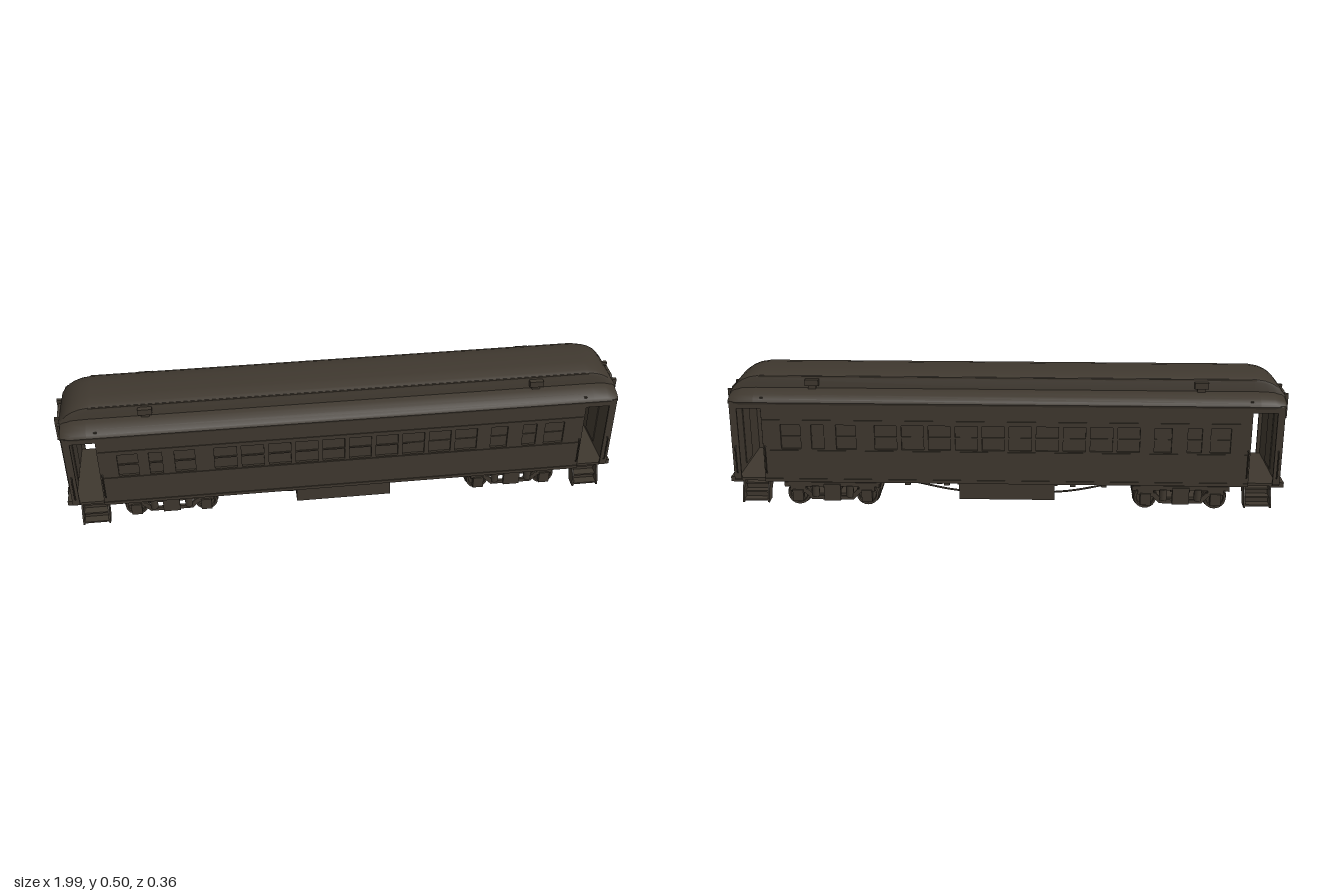
import * as THREE from 'three';
import { toCreasedNormals } from 'three/addons/utils/BufferGeometryUtils.js';

const paint = new THREE.MeshStandardMaterial({ color: 0x3f382f });
paint.name = 'dark olive brown paint';

function add(parent, name, geometry, x = 0, y = 0, z = 0) {
  const mesh = new THREE.Mesh(geometry, paint);
  mesh.name = name;
  mesh.position.set(x, y, z);
  parent.add(mesh);
  return mesh;
}
// box given by its limits
function box(parent, name, x0, x1, y0, y1, z0, z1) {
  return add(parent, name, new THREE.BoxGeometry(x1 - x0, y1 - y0, z1 - z0),
    (x0 + x1) / 2, (y0 + y1) / 2, (z0 + z1) / 2);
}
function polygon(points) {
  return new THREE.Shape(points.map(([a, b]) => new THREE.Vector2(a, b)));
}
function rectHole(x0, x1, y0, y1) {
  return new THREE.Path([[x0, y0], [x0, y1], [x1, y1], [x1, y0]].map(p => new THREE.Vector2(...p)));
}
function extrude(shape, depth) {
  return new THREE.ExtrudeGeometry(shape, { depth, bevelEnabled: false, curveSegments: 8 });
}
function tube(parent, name, points, radius) {
  const curve = new THREE.CatmullRomCurve3(points.map(p => new THREE.Vector3(...p)));
  return add(parent, name, new THREE.TubeGeometry(curve, points.length * 5, radius, 6));
}

// skins a half profile [z, y], mirrored in z, along sections [x, height scale, width scale]
function roofLoft(half, sections) {
  const base = half[0][1];
  const full = [...half, ...half.filter(p => p[0] > 0).reverse().map(([z, y]) => [-z, y])];
  const n = full.length, pos = [], index = [];
  for (const [x, sy, sz] of sections)
    for (const [z, y] of full) pos.push(x, base + (y - base) * sy, z * sz);
  for (let i = 0; i < sections.length - 1; i++)
    for (let j = 0; j < n - 1; j++) {
      const a = i * n + j, b = a + n;
      index.push(a, b, a + 1, b, b + 1, a + 1);
    }
  const last = (sections.length - 1) * n;
  for (let j = 1; j < n - 1; j++) index.push(0, j, j + 1, last, last + j + 1, last + j);
  const g = new THREE.BufferGeometry();
  g.setAttribute('position', new THREE.Float32BufferAttribute(pos, 3));
  g.setIndex(index);
  return toCreasedNormals(g, 0.6);
}
function bothEnds(list) {
  return [...list.map(([x, ...r]) => [-x, ...r]), ...[...list].reverse()];
}

function buildRoof() {
  const roof = new THREE.Group();
  roof.name = 'roof';
  add(roof, 'lowerRoof', roofLoft(
    [[0.163, 0.405], [0.166, 0.413], [0.161, 0.424], [0.145, 0.436], [0.12, 0.446], [0.1, 0.45], [0, 0.452]],
    bothEnds([[0.97, 0.6, 0.95], [0.96, 0.75, 0.98], [0.93, 0.95, 1], [0.88, 1, 1]])));
  add(roof, 'clerestory', roofLoft(
    [[0.105, 0.425], [0.1, 0.482], [0.097, 0.492], [0.085, 0.498], [0.045, 0.504], [0, 0.505]],
    bothEnds([[0.975, 0.1, 0.96], [0.96, 0.38, 0.98], [0.945, 0.6, 1], [0.925, 0.78, 1], [0.9, 0.92, 1], [0.865, 1, 1]])));
  for (const s of [-1, 1]) {
    box(roof, 'clerestoryEave', -0.87, 0.87, 0.486, 0.491, s * 0.099 - 0.003, s * 0.099 + 0.003);
    for (const x of [-0.68, 0.68]) {
      box(roof, 'ventilator', x - 0.024, x + 0.024, 0.46, 0.482, s * 0.108 - 0.01, s * 0.108 + 0.01);
      box(roof, 'ventilatorNeck', x - 0.014, x + 0.014, 0.445, 0.462, s * 0.105 - 0.006, s * 0.105 + 0.006);
    }
  }
  return roof;
}

// one long side wall with recessed windows, facing +z
function buildSide() {
  const side = new THREE.Group();
  side.name = 'sideWall';
  const wall = polygon([[-0.855, 0.125], [0.855, 0.125], [0.855, 0.39], [0.94, 0.39], [0.94, 0.125],
    [0.965, 0.125], [0.965, 0.415], [-0.965, 0.415], [-0.965, 0.125], [-0.94, 0.125], [-0.94, 0.39], [-0.855, 0.39]]);
  const windows = [[-0.755, 0.07], [-0.66, 0.045], [-0.56, 0.07], [0.55, 0.06], [0.66, 0.05], [0.75, 0.07]];
  for (let i = 0; i < 10; i++) windows.push([-0.42 + i * 0.0945, 0.078]);
  for (const [x, w] of windows) {
    wall.holes.push(rectHole(x - w / 2, x + w / 2, 0.242, 0.332));
    box(side, 'windowSashRail', x - w / 2, x + w / 2, 0.284, 0.289, 0.154, 0.159);
  }
  add(side, 'wallPanel', extrude(wall, 0.008), 0, 0, 0.155);
  box(side, 'windowGlass', -0.85, 0.85, 0.13, 0.415, 0.148, 0.155);
  box(side, 'windowSill', -0.85, 0.85, 0.231, 0.237, 0.162, 0.166);
  box(side, 'upperBelt', -0.85, 0.85, 0.345, 0.35, 0.162, 0.166);
  box(side, 'sideSill', -0.855, 0.855, 0.118, 0.13, 0.145, 0.166);
  for (const x of [-0.847, 0.847, -0.952, 0.952])
    tube(side, 'grabRail', [[x, 0.15, 0.163], [x, 0.157, 0.17], [x, 0.2, 0.17], [x, 0.245, 0.17], [x, 0.252, 0.163]], 0.0025);
  return side;
}

// stair block under the vestibule, opening towards +z
function buildSteps() {
  const steps = new THREE.Group();
  steps.name = 'entranceSteps';
  const cheek = polygon([[-0.1, 0.12], [-0.1, 0.1], [-0.125, 0.075], [-0.135, 0.045], [-0.178, 0.043],
    [-0.178, 0.06], [-0.17, 0.085], [-0.158, 0.105], [-0.154, 0.12]]);
  for (const x of [0.842, 0.932]) {
    const m = add(steps, 'stepCheek', extrude(cheek, 0.006), x, 0, 0);
    m.rotation.y = Math.PI / 2;
  }
  for (let i = 0; i < 3; i++) {
    const z = 0.175 - i * 0.02, y = 0.048 + i * 0.024;
    box(steps, 'tread', 0.845, 0.935, y, y + 0.006, z - 0.032, z);
    box(steps, 'riser', 0.845, 0.935, y, y + 0.025, z - 0.034, z - 0.03);
  }
  return steps;
}

// vestibule, gangway and coupling gear at the +x end
function buildEnd() {
  const end = new THREE.Group();
  end.name = 'carEnd';
  const wall = polygon([[-0.16, 0.125], [0.16, 0.125], [0.16, 0.412], [0.1, 0.43], [-0.1, 0.43], [-0.16, 0.412]]);
  wall.holes.push(rectHole(-0.043, 0.043, 0.143, 0.398));
  add(end, 'endWall', extrude(wall, 0.012), 0.953).rotation.y = Math.PI / 2;
  const gangway = polygon([[-0.066, 0.122], [0.066, 0.122], [0.07, 0.405], [0.03, 0.43], [-0.03, 0.43], [-0.07, 0.405]]);
  gangway.holes.push(new THREE.Path([[-0.041, 0.145], [-0.041, 0.385], [-0.032, 0.396], [0.032, 0.396], [0.041, 0.385], [0.041, 0.145]]
    .map(p => new THREE.Vector2(...p))));
  add(end, 'gangwayFrame', extrude(gangway, 0.023), 0.962).rotation.y = Math.PI / 2;
  box(end, 'bulkhead', 0.845, 0.855, 0.125, 0.43, -0.158, 0.158);
  box(end, 'vestibuleCeiling', 0.85, 0.965, 0.4, 0.408, -0.158, 0.158);
  box(end, 'endDoor', 0.95, 0.957, 0.14, 0.4, -0.044, 0.044);
  for (const z of [-0.036, -0.012, 0.012, 0.036]) box(end, 'doorStile', 0.955, 0.963, 0.147, 0.39, z - 0.003, z + 0.003);
  for (const y of [0.15, 0.275, 0.385]) box(end, 'doorRail', 0.955, 0.963, y - 0.004, y + 0.004, -0.036, 0.036);
  box(end, 'bufferBeam', 0.94, 0.985, 0.107, 0.125, -0.14, 0.14);
  for (const s of [-1, 1]) {
    box(end, 'gangwayPost', 0.963, 0.978, 0.125, 0.41, s * 0.074 - 0.005, s * 0.074 + 0.005);
    box(end, 'gangwayBracket', 0.975, 0.993, 0.34, 0.43, s * 0.055 - 0.006, s * 0.055 + 0.006);
    box(end, 'bufferPad', 0.96, 0.993, 0.082, 0.107, s * 0.048 - 0.014, s * 0.048 + 0.014);
    const steps = buildSteps();
    if (s < 0) { steps.scale.z = -1; }
    end.add(steps);
  }
  box(end, 'couplerShank', 0.86, 0.96, 0.09, 0.108, -0.012, 0.012);
  add(end, 'couplerHead', new THREE.CylinderGeometry(0.02, 0.016, 0.034, 10), 0.978, 0.103, 0);
  tube(end, 'brakeHose', [[0.95, 0.105, 0.028], [0.957, 0.065, 0.024], [0.96, 0.035, 0.008], [0.96, 0.033, -0.008],
    [0.957, 0.065, -0.024], [0.95, 0.105, -0.028]], 0.0035);
  return end;
}

// two axle truck, centred on x = 0
function buildTruck() {
  const truck = new THREE.Group();
  truck.name = 'truck';
  const rim = [[0.012, -0.011], [0.038, -0.011], [0.038, -0.015], [0.045, -0.015], [0.045, -0.007],
    [0.041, -0.005], [0.04, 0.015], [0.032, 0.015], [0.03, 0.009], [0.014, 0.009], [0, 0.014]];
  const wheelGeo = toCreasedNormals(new THREE.LatheGeometry(
    [[0, -0.011], ...rim].map(p => new THREE.Vector2(...p)), 24), 0.5);
  for (const x of [-0.125, 0.125]) {
    add(truck, 'axle', new THREE.CylinderGeometry(0.009, 0.009, 0.21, 10), x, 0.045, 0).rotation.x = Math.PI / 2;
    for (const s of [-1, 1]) {
      add(truck, 'wheel', wheelGeo, x, 0.045, s * 0.082).rotation.x = s * Math.PI / 2;
      box(truck, 'journalBox', x - 0.019, x + 0.019, 0.024, 0.068, s * 0.11 - 0.01, s * 0.11 + 0.01);
      box(truck, 'pedestal', x - 0.028, x + 0.028, 0.062, 0.084, s * 0.107 - 0.007, s * 0.107 + 0.007);
    }
  }
  const equalizer = polygon([[-0.13, 0.072], [-0.13, 0.06], [-0.1, 0.056], [-0.075, 0.03], [0.075, 0.03],
    [0.1, 0.056], [0.13, 0.06], [0.13, 0.072], [0.09, 0.07], [0.065, 0.044], [-0.065, 0.044], [-0.09, 0.07]]);
  for (const s of [-1, 1]) {
    add(truck, 'equalizerBar', extrude(equalizer, 0.01), 0, 0, s * 0.109 - 0.005);
    box(truck, 'sideFrame', -0.17, 0.17, 0.08, 0.096, s * 0.106 - 0.008, s * 0.106 + 0.008);
    box(truck, 'swingHanger', -0.03, 0.03, 0.028, 0.09, s * 0.112 - 0.008, s * 0.112 + 0.008);
    for (const x of [-0.062, 0.062])
      add(truck, 'coilSpring', new THREE.CylinderGeometry(0.014, 0.014, 0.042, 10), x, 0.062, s * 0.107);
    box(truck, 'endFrame', s * 0.167 - 0.007, s * 0.167 + 0.007, 0.076, 0.094, -0.11, 0.11);
  }
  box(truck, 'bolster', -0.035, 0.035, 0.07, 0.12, -0.105, 0.105);
  const pan = polygon([[-0.165, -0.045], [-0.13, -0.064], [0.13, -0.064], [0.165, -0.045],
    [0.165, 0.045], [0.13, 0.064], [-0.13, 0.064], [-0.165, 0.045]]);
  add(truck, 'bottomPan', extrude(pan, 0.008), 0, 0.034, 0).rotation.x = Math.PI / 2;
  return truck;
}

function buildUnderframe() {
  const under = new THREE.Group();
  under.name = 'underframe';
  box(under, 'floor', -0.965, 0.965, 0.118, 0.128, -0.155, 0.155);
  box(under, 'centreSill', -0.9, 0.9, 0.098, 0.12, -0.025, 0.025);
  for (const s of [-1, 1]) {
    box(under, 'equipmentBox', -0.175, 0.165, 0.052, 0.12, s * 0.11 - 0.038, s * 0.11 + 0.038);
    box(under, 'boxLid', -0.185, 0.17, 0.108, 0.12, s * 0.11 - 0.041, s * 0.11 + 0.041);
    tube(under, 'trussRod', [[-0.45, 0.118, s * 0.1], [-0.38, 0.1, s * 0.1], [-0.22, 0.068, s * 0.1], [0, 0.06, s * 0.1],
      [0.18, 0.068, s * 0.1], [0.34, 0.1, s * 0.1], [0.45, 0.118, s * 0.1]], 0.0035);
    box(under, 'valveBox', 0.23, 0.3, 0.088, 0.12, s * 0.07 - 0.025, s * 0.07 + 0.025);
  }
  for (const x of [-0.35, -0.24, 0.21, 0.35]) box(under, 'crossBearer', x - 0.01, x + 0.01, 0.1, 0.12, -0.14, 0.14);
  add(under, 'brakeCylinder', new THREE.CylinderGeometry(0.02, 0.02, 0.09, 14), 0.27, 0.098, 0).rotation.z = Math.PI / 2;
  return under;
}

export function createModel() {
  const car = new THREE.Group();
  car.name = 'passengerCar';
  car.add(buildRoof(), buildUnderframe());
  // sides, ends and trucks repeat by a half turn
  for (const turn of [0, Math.PI]) {
    const half = new THREE.Group();
    half.name = turn ? 'rightHalf' : 'leftHalf';
    const truck = buildTruck();
    truck.position.x = 0.627;
    half.add(buildSide(), buildEnd(), truck);
    half.rotation.y = turn;
    car.add(half);
  }
  return car;
}
